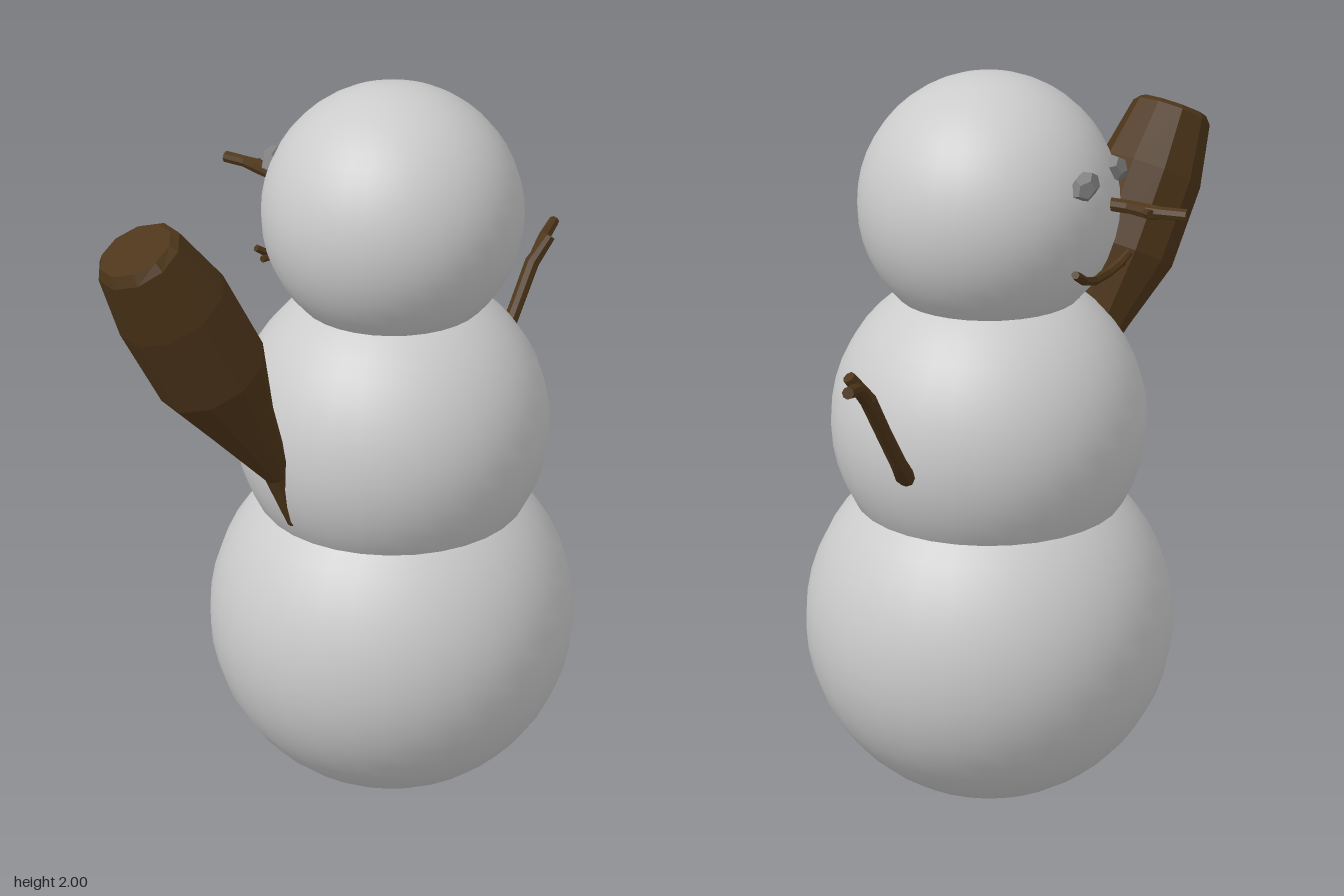
import * as THREE from 'three';

const snow = new THREE.MeshStandardMaterial({ color: 0xcccccc });
const wood = new THREE.MeshStandardMaterial({ color: 0x4d3519, flatShading: true });
const stone = new THREE.MeshStandardMaterial({ color: 0x808080, flatShading: true });

// Closed branch swept through rings given as [x, y, z, radius]
function branch(name, rings, sides, ref) {
  const centers = rings.map(([x, y, z]) => new THREE.Vector3(x, y, z));
  const last = rings.length - 1;
  const positions = [];
  const index = [];
  rings.forEach(([, , , r], i) => {
    const t = centers[Math.min(i + 1, last)].clone().sub(centers[Math.max(i - 1, 0)]).normalize();
    const u = new THREE.Vector3().crossVectors(ref, t).normalize();
    const v = new THREE.Vector3().crossVectors(t, u);
    for (let j = 0; j < sides; j++) {
      const a = (j / sides) * Math.PI * 2;
      const p = centers[i].clone().addScaledVector(u, r * Math.cos(a)).addScaledVector(v, r * Math.sin(a));
      positions.push(p.x, p.y, p.z);
    }
  });
  positions.push(...centers[0].toArray(), ...centers[last].toArray());
  const startCap = rings.length * sides;
  for (let j = 0; j < sides; j++) {
    const k = (j + 1) % sides;
    for (let i = 0; i < last; i++) {
      const a = i * sides, b = a + sides;
      index.push(a + j, a + k, b + k, a + j, b + k, b + j);
    }
    index.push(startCap, k, j, startCap + 1, last * sides + j, last * sides + k);
  }
  const geometry = new THREE.BufferGeometry();
  geometry.setAttribute('position', new THREE.Float32BufferAttribute(positions, 3));
  geometry.setIndex(index);
  geometry.computeVertexNormals();
  const mesh = new THREE.Mesh(geometry, wood);
  mesh.name = name;
  return mesh;
}

export function createModel() {
  const model = new THREE.Group();
  model.name = 'snowman';
  const sideways = new THREE.Vector3(0, 0, 1);
  const upward = new THREE.Vector3(0, 1, 0);

  // Three stacked snowballs: name, centre height, radius
  for (const [name, y, r] of [['base', 0.5, 0.5], ['torso', 1.07, 0.42], ['head', 1.66, 0.34]]) {
    const ball = new THREE.Mesh(new THREE.SphereGeometry(r, 32, 24), snow);
    ball.name = name;
    ball.position.set(0.04, y, 0.025);
    model.add(ball);
  }

  // Thick club-like arm
  model.add(branch('rightArm', [
    [-0.32, 0.9, -0.03, 0.02],
    [-0.365, 1.05, -0.05, 0.035],
    [-0.46, 1.22, -0.08, 0.085],
    [-0.545, 1.39, -0.11, 0.145],
    [-0.645, 1.595, -0.15, 0.145],
    [-0.73, 1.745, -0.175, 0.112],
    [-0.738, 1.762, -0.178, 0.095],
  ], 10, sideways));

  // Thin forked arm
  const leftArm = new THREE.Group();
  leftArm.name = 'leftArm';
  leftArm.add(
    branch('stick', [
      [0.41, 1.02, 0.07, 0.024], [0.47, 1.05, 0.06, 0.025], [0.53, 1.105, 0.045, 0.021],
      [0.6, 1.21, 0.05, 0.02], [0.67, 1.32, 0.055, 0.021], [0.715, 1.39, 0.083, 0.016],
    ], 8, sideways),
    branch('twig', [
      [0.66, 1.3, 0.055, 0.016], [0.7, 1.345, 0.055, 0.018],
      [0.74, 1.37, 0.048, 0.017], [0.82, 1.39, 0.03, 0.015],
    ], 8, sideways),
  );
  model.add(leftArm);

  // Crooked stick nose with a short stub
  const nose = new THREE.Group();
  nose.name = 'nose';
  nose.add(
    branch('noseStick', [
      [0.02, 1.69, -0.29, 0.018], [0.025, 1.69, -0.36, 0.018], [0.045, 1.69, -0.42, 0.02],
      [0.048, 1.692, -0.46, 0.016], [0.046, 1.693, -0.525, 0.016],
    ], 8, upward),
    branch('noseStub', [[0.045, 1.69, -0.41, 0.014], [0.068, 1.69, -0.435, 0.012]], 6, upward),
  );
  model.add(nose);

  // Twig mouth with a small fork at one end
  const mouth = new THREE.Group();
  mouth.name = 'mouth';
  mouth.add(
    branch('mouthTwig', [
      [0.215, 1.555, -0.295, 0.011], [0.17, 1.535, -0.285, 0.012], [0.12, 1.51, -0.28, 0.012],
      [0.05, 1.49, -0.275, 0.013], [-0.03, 1.49, -0.28, 0.013], [-0.07, 1.505, -0.295, 0.012],
      [-0.105, 1.53, -0.31, 0.01],
    ], 6, upward),
    branch('mouthFork', [[-0.06, 1.5, -0.288, 0.01], [-0.1, 1.5, -0.295, 0.009]], 6, upward),
  );
  model.add(mouth);

  // Stone eyes
  for (const [name, x, y, tilt] of [['rightEye', -0.052, 1.765, 0.25], ['leftEye', 0.145, 1.765, -0.35]]) {
    const eye = new THREE.Mesh(new THREE.DodecahedronGeometry(0.042), stone);
    eye.name = name;
    eye.position.set(x, y, -0.29);
    eye.scale.set(1.12, 0.85, 0.72);
    eye.rotation.set(0.3, tilt, tilt);
    model.add(eye);
  }
  return model;
}
